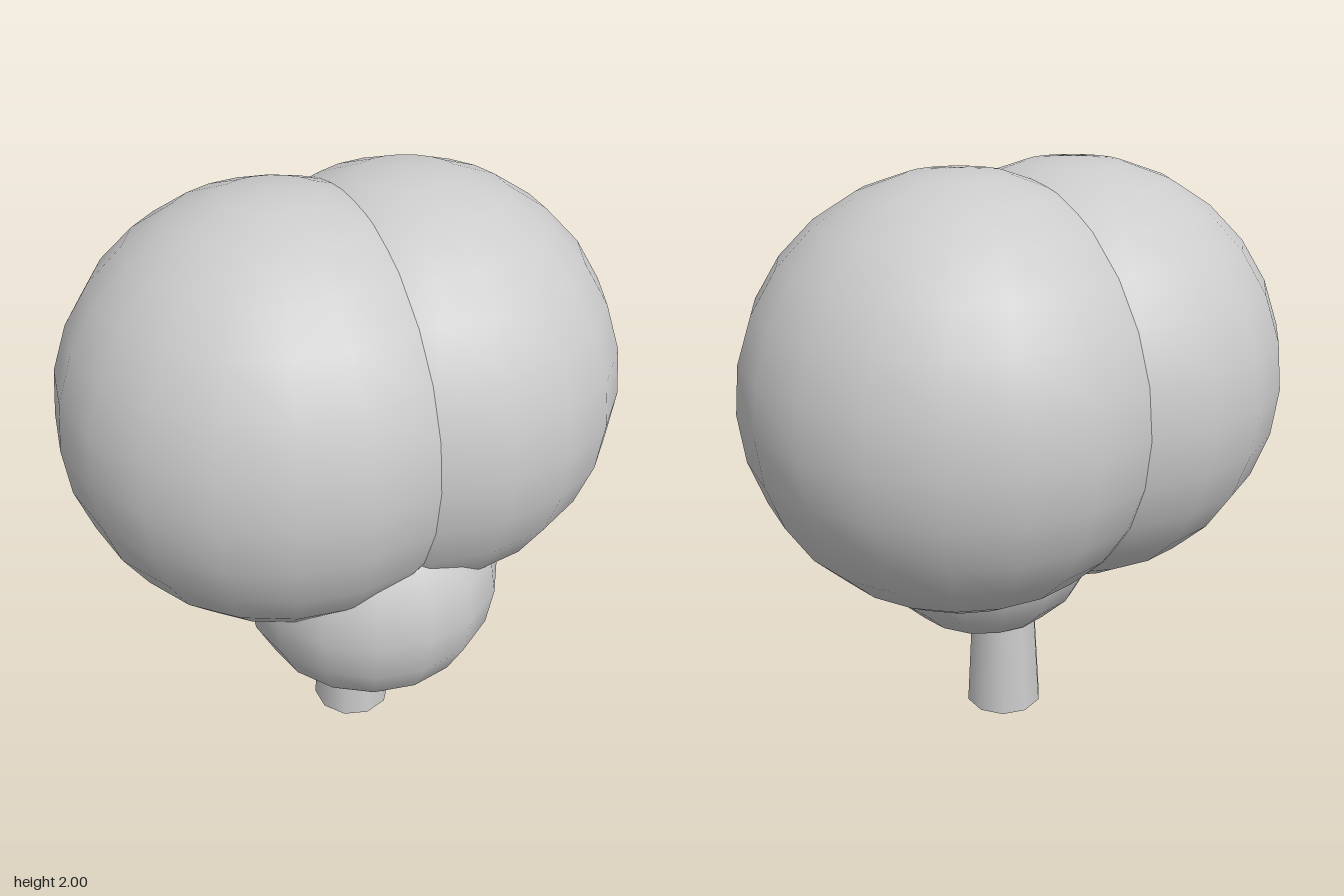
import * as THREE from 'three';

export function createModel() {
  const model = new THREE.Group();
  const material = new THREE.MeshStandardMaterial({ color: 0xcccccc });

  function add(name, geometry, x, y, z) {
    const mesh = new THREE.Mesh(geometry, material);
    mesh.name = name;
    mesh.position.set(x, y, z);
    model.add(mesh);
  }

  // Two large mirrored lobes, overlapping along the middle
  const lobe = new THREE.SphereGeometry(0.71, 20, 14);
  add('leftLobe', lobe, 0.22, 1.29, 0);
  add('rightLobe', lobe, -0.22, 1.29, 0);

  // Smaller lobe, low and towards the front
  add('lowerLobe', new THREE.SphereGeometry(0.44, 16, 10), 0, 0.71, 0.22);

  // Short tapered stem, its top sunk into the lower lobe
  const stemHeight = 0.5;
  add('stem', new THREE.CylinderGeometry(0.112, 0.14, stemHeight, 10), 0, stemHeight / 2, 0.09);

  return model;
}
